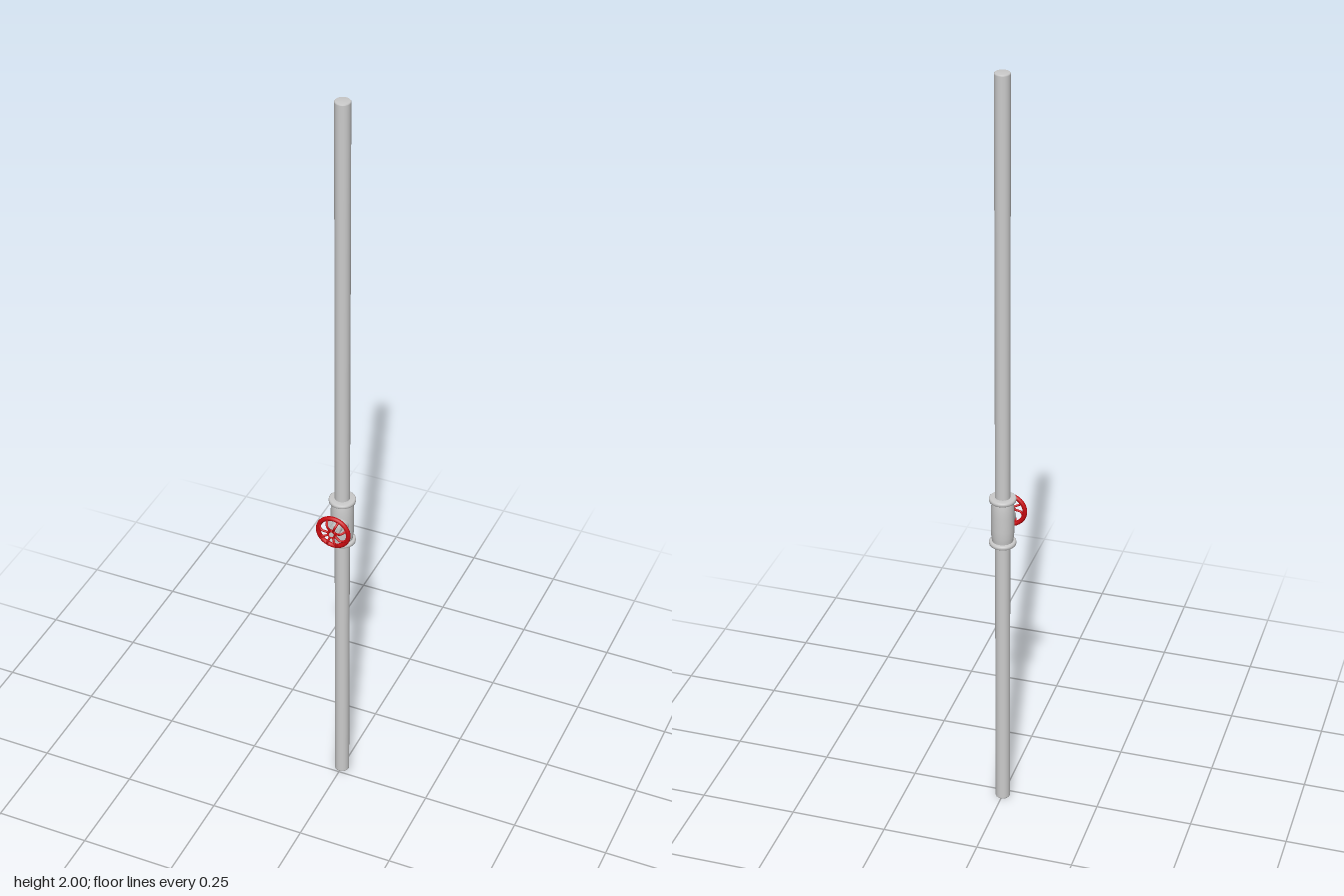
import * as THREE from 'three';

const PIPE_Z = -0.021, VALVE_Y = 0.838;

export function createModel() {
  const model = new THREE.Group();
  const grey = new THREE.MeshStandardMaterial({ color: 0xcccccc });
  const red = new THREE.MeshStandardMaterial({ color: 0xc80a10 });

  const add = (parent, name, geometry, material, x = 0, y = 0, z = 0) => {
    const mesh = new THREE.Mesh(geometry, material);
    mesh.name = name;
    mesh.position.set(x, y, z);
    parent.add(mesh);
    return mesh;
  };
  const lathe = (points, segments = 32) =>
    new THREE.LatheGeometry(points.map(([r, y]) => new THREE.Vector2(r, y)), segments);

  // Long straight pipe with slightly eased, closed ends
  add(model, 'pipe', lathe([
    [0, 0], [0.0175, 0], [0.019, 0.002], [0.019, 0.004],
    [0.019, 1.996], [0.019, 1.998], [0.0175, 2], [0, 2],
  ]), grey, 0, 0, PIPE_Z);

  // Valve body around the pipe
  const valve = new THREE.Group();
  valve.name = 'valve';
  valve.position.set(0, VALVE_Y, PIPE_Z);
  model.add(valve);
  add(valve, 'valveBody', lathe([
    [0.026, -0.06], [0.027, -0.05], [0.0285, -0.04], [0.029, -0.02],
    [0.029, 0.02], [0.0285, 0.04], [0.027, 0.05], [0.026, 0.06],
  ]), grey);

  // Rounded collars at both ends of the body
  for (const side of [-1, 1]) {
    add(valve, side > 0 ? 'upperCollar' : 'lowerCollar', lathe([
      [0.018, -0.006], [0.031, -0.006], [0.0335, -0.004], [0.034, 0],
      [0.0335, 0.004], [0.031, 0.006], [0.018, 0.006],
    ]), grey, 0, side * 0.0615, 0);
  }

  // Bonnet and stem, running forward from the body
  const cylinderZ = (name, radius, z0, z1, material) => {
    const geometry = new THREE.CylinderGeometry(radius, radius, z1 - z0, 24).rotateX(Math.PI / 2);
    add(model, name, geometry, material, 0, VALVE_Y, (z0 + z1) / 2);
  };
  cylinderZ('bonnetBase', 0.025, PIPE_Z, 0.011, grey);
  cylinderZ('bonnet', 0.0145, 0.01, 0.028, grey);
  cylinderZ('stem', 0.006, 0.027, 0.048, grey);

  // Handwheel: rim, hub ring and arched spokes
  const wheel = new THREE.Group();
  wheel.name = 'handwheel';
  wheel.position.set(0, VALVE_Y, 0.035);
  model.add(wheel);
  add(wheel, 'rim', new THREE.TorusGeometry(0.0405, 0.0058, 12, 48), red);
  add(wheel, 'hubRing', new THREE.TorusGeometry(0.0095, 0.0035, 10, 24), red, 0, 0, 0.009);

  const arch = new THREE.CatmullRomCurve3([
    [0.039, 0], [0.034, 0.009], [0.027, 0.0145], [0.018, 0.0125], [0.009, 0.009],
  ].map(([r, z]) => new THREE.Vector3(r, 0, z)));
  const spoke = new THREE.TubeGeometry(arch, 14, 0.0029, 8);
  for (let i = 0; i < 8; i++) {
    add(wheel, 'spoke', spoke, red).rotation.z = (i + 0.5) * Math.PI / 4;
  }
  return model;
}
